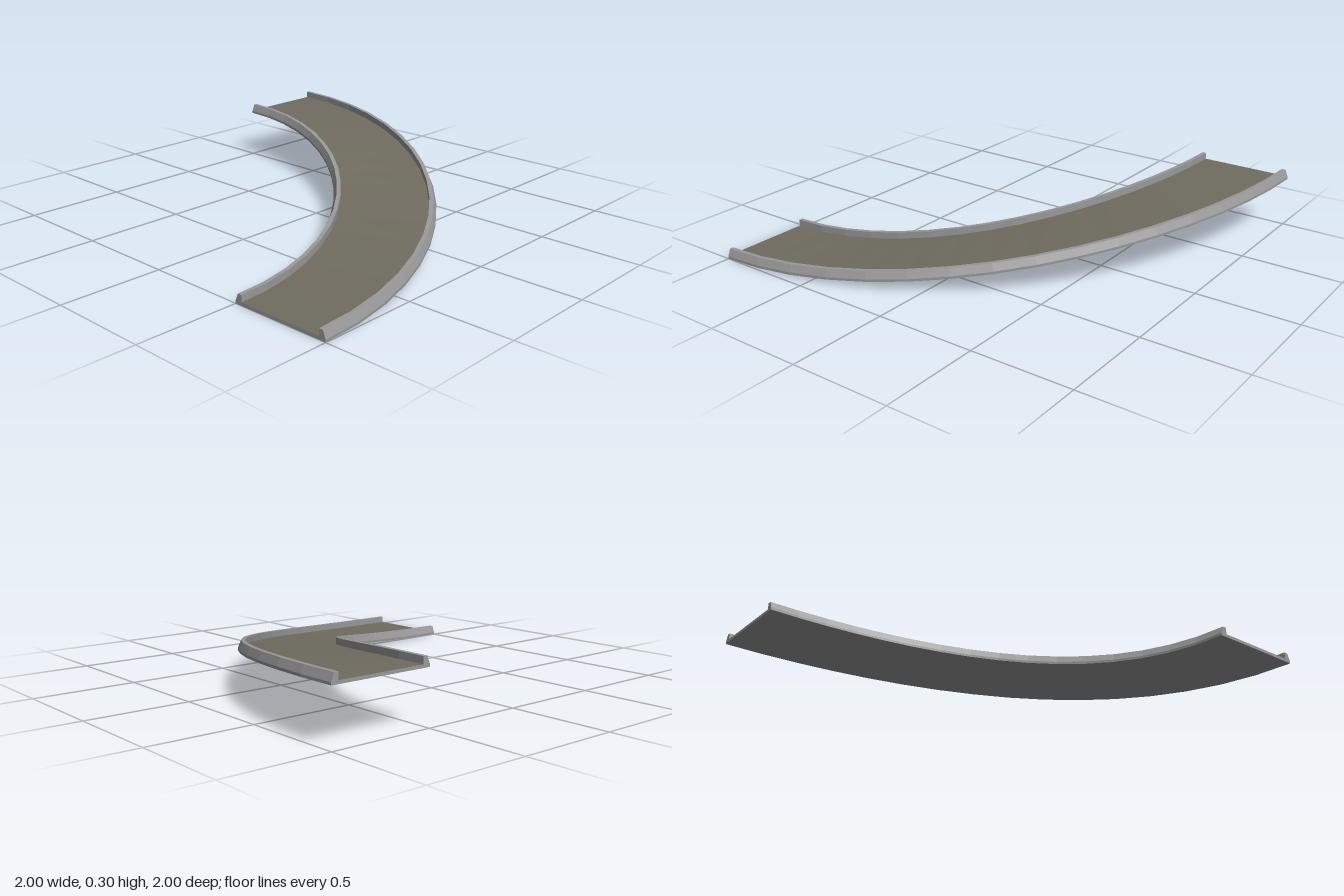
import * as THREE from 'three';

const STEPS = 16; // segments along the quarter turn
const RISE = 0.25;

// Point on the ramp: radius r, height y above the ramp base, t from 0 (front) to 1 (back)
function rampPoint([r, y], t) {
  const a = t * Math.PI / 2;
  return [-1 + r * Math.cos(a), y + RISE * Math.sin(a) ** 2, 1 - r * Math.sin(a)];
}

function facetedGeometry(positions) {
  const geometry = new THREE.BufferGeometry();
  geometry.setAttribute('position', new THREE.Float32BufferAttribute(positions, 3));
  geometry.computeVertexNormals();
  return geometry;
}

// Sweep an open line of the cross-section along the turn
function sweep(line) {
  const positions = [];
  for (let s = 0; s < STEPS; s++) {
    const t0 = s / STEPS, t1 = (s + 1) / STEPS;
    for (let i = 0; i < line.length - 1; i++) {
      const a0 = rampPoint(line[i], t0), b0 = rampPoint(line[i + 1], t0);
      const a1 = rampPoint(line[i], t1), b1 = rampPoint(line[i + 1], t1);
      positions.push(...a0, ...a1, ...b1, ...a0, ...b1, ...b0);
    }
  }
  return facetedGeometry(positions);
}

// Close one end of the cross-section
function endCap(section, t) {
  const points = section.map(([r, y]) => new THREE.Vector2(r, y));
  const positions = [];
  for (const [a, b, c] of THREE.ShapeUtils.triangulateShape(points, [])) {
    const order = t === 0 ? [a, b, c] : [a, c, b];
    for (const i of order) positions.push(...rampPoint(section[i], t));
  }
  return facetedGeometry(positions);
}

export function createModel() {
  const concrete = new THREE.MeshStandardMaterial({ color: 0x999999 });
  concrete.name = 'light grey kerb';
  const asphalt = new THREE.MeshStandardMaterial({ color: 0x706c60 });
  asphalt.name = 'brown grey road';

  // Shallow channel section, counter-clockwise, as [radius, height]
  const outerRail = [[2, 0], [2, 0.012], [1.985, 0.048], [1.965, 0.048], [1.965, 0.015]];
  const innerRail = [[1.535, 0.015], [1.535, 0.048], [1.515, 0.048], [1.5, 0.012], [1.5, 0]];
  const section = [...outerRail, ...innerRail];

  const model = new THREE.Group();
  model.name = 'curvedRamp';
  const add = (name, geometry, material) => {
    const mesh = new THREE.Mesh(geometry, material);
    mesh.name = name;
    model.add(mesh);
  };

  add('roadDeck', sweep([outerRail[4], innerRail[0]]), asphalt);
  add('outerRail', sweep(outerRail), concrete);
  add('innerRail', sweep(innerRail), concrete);
  add('underside', sweep([innerRail[4], outerRail[0]]), concrete);
  add('frontEnd', endCap(section, 0), concrete);
  add('backEnd', endCap(section, 1), concrete);
  return model;
}
